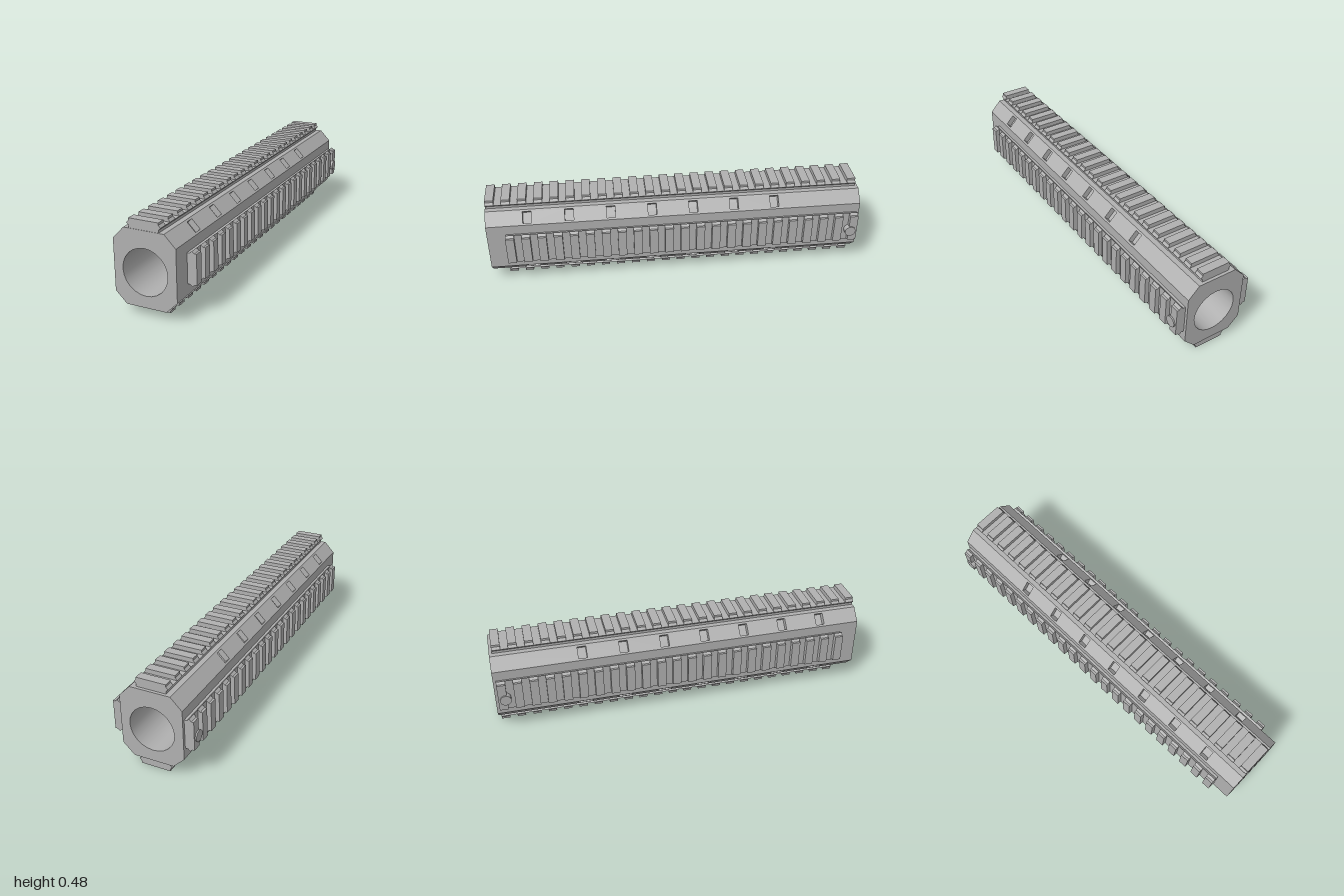
import * as THREE from 'three';
import { toCreasedNormals } from 'three/addons/utils/BufferGeometryUtils.js';

const metal = new THREE.MeshStandardMaterial({ color: 0xb0b0b0 });
metal.name = 'grey metal';

const SLOT_DEPTH = 0.03;
const BODY_MID = 0.24;
const V2 = (x, y) => new THREE.Vector2(x, y);

function addMesh(parent, name, geometry) {
  const mesh = new THREE.Mesh(geometry, metal);
  mesh.name = name;
  parent.add(mesh);
  return mesh;
}

// Extrude a cross-section in x/y from z0 to z1
function prism(shape, z0, z1, curveSegments = 12) {
  const g = new THREE.ExtrudeGeometry(shape, { depth: z1 - z0, bevelEnabled: false, curveSegments });
  return g.translate(0, 0, z0);
}

// One bevelled corner of the body: top/bottom end a, side end b, outward normal n
function corner(sx, top) {
  const a = V2(sx * 0.105, top ? 0.43 : 0.05);
  const b = V2(sx * 0.163, top ? 0.37 : 0.107);
  const n = V2(b.y - a.y, a.x - b.x).normalize();
  if (n.x * sx < 0) n.negate();
  const inset = (p) => p.clone().addScaledVector(n, -SLOT_DEPTH);
  return { a, b, n, top, outline: [b, inset(b), inset(a), a] };
}

// Bevel strip with a row of seven rectangular vent slots
function bevelStrip({ a, b, n, top }) {
  const half = a.distanceTo(b) / 2;
  const rect = (path, x0, x1, h) => path.setFromPoints([V2(x0, -h), V2(x1, -h), V2(x1, h), V2(x0, h)]);
  const shape = rect(new THREE.Shape(), -1, 1, half);
  const halfLength = top ? 0.023 : 0.039;
  for (let i = 0; i < 7; i++) {
    const z = 0.783 - i * 0.219;
    shape.holes.push(rect(new THREE.Path(), z - halfLength, z + halfLength, 0.031));
  }
  const g = prism(shape, 0, SLOT_DEPTH);
  const along = new THREE.Vector3(0, 0, 1);
  const out = new THREE.Vector3(n.x, n.y, 0);
  const across = new THREE.Vector3().crossVectors(out, along);
  const m = new THREE.Matrix4().makeBasis(along, across, out);
  m.setPosition((a.x + b.x) / 2 - n.x * SLOT_DEPTH, (a.y + b.y) / 2 - n.y * SLOT_DEPTH, 0);
  return g.applyMatrix4(m);
}

// Accessory rail: continuous flared base with separate cross teeth, pointing up
function rail(name, front, count) {
  const group = new THREE.Group();
  group.name = name;
  const back = -0.985, toothLength = 0.045;
  const base = new THREE.Shape([
    V2(-0.077, -0.003), V2(0.077, -0.003), V2(0.077, 0.013), V2(0.088, 0.0245),
    V2(-0.088, 0.0245), V2(-0.077, 0.013),
  ]);
  const tooth = new THREE.Shape([
    V2(-0.088, 0.0245), V2(0.088, 0.0245), V2(0.077, 0.037), V2(0.077, 0.048),
    V2(-0.077, 0.048), V2(-0.077, 0.037),
  ]);
  addMesh(group, 'railBase', prism(base, back, front));
  const toothGeometry = prism(tooth, 0, toothLength);
  const pitch = (front - back - toothLength) / (count - 1);
  for (let i = 0; i < count; i++) {
    addMesh(group, 'railTooth', toothGeometry).position.z = back + i * pitch;
  }
  return group;
}

export function createModel() {
  const model = new THREE.Group();
  model.name = 'railedHandguard';

  // Eight-sided body with a round bore; bevels are set in for the slotted strips
  const corners = [corner(1, true), corner(-1, true), corner(-1, false), corner(1, false)];
  const outline = corners.flatMap((c, i) => (i % 2 ? [...c.outline].reverse() : c.outline));
  const section = new THREE.Shape(outline);
  section.holes.push(new THREE.Path().absarc(0, 0.227, 0.1175, 0, Math.PI * 2, true));
  addMesh(model, 'body', toCreasedNormals(prism(section, -1, 1, 12), 0.6));
  corners.forEach((c) => addMesh(model, 'slottedBevel', bevelStrip(c)));

  // Four rails
  const rails = [
    { name: 'topRail', front: 0.998, count: 24, x: 0, y: 0.43, turn: 0 },
    { name: 'bottomRail', front: 0.917, count: 23, x: 0, y: 0.05, turn: Math.PI },
    { name: 'leftRail', front: 0.902, count: 23, x: 0.163, y: BODY_MID, turn: -Math.PI / 2 },
    { name: 'rightRail', front: 0.902, count: 23, x: -0.163, y: BODY_MID, turn: Math.PI / 2 },
  ];
  for (const r of rails) {
    const group = rail(r.name, r.front, r.count);
    group.position.set(r.x, r.y, 0);
    group.rotation.z = r.turn;
    model.add(group);
  }

  // Round pin near the back of each side rail
  for (const side of [-1, 1]) {
    const pin = addMesh(model, 'sidePin', new THREE.CylinderGeometry(0.029, 0.029, 0.05, 20));
    pin.rotation.z = Math.PI / 2;
    pin.position.set(side * 0.193, 0.224, -0.948);
  }
  return model;
}
